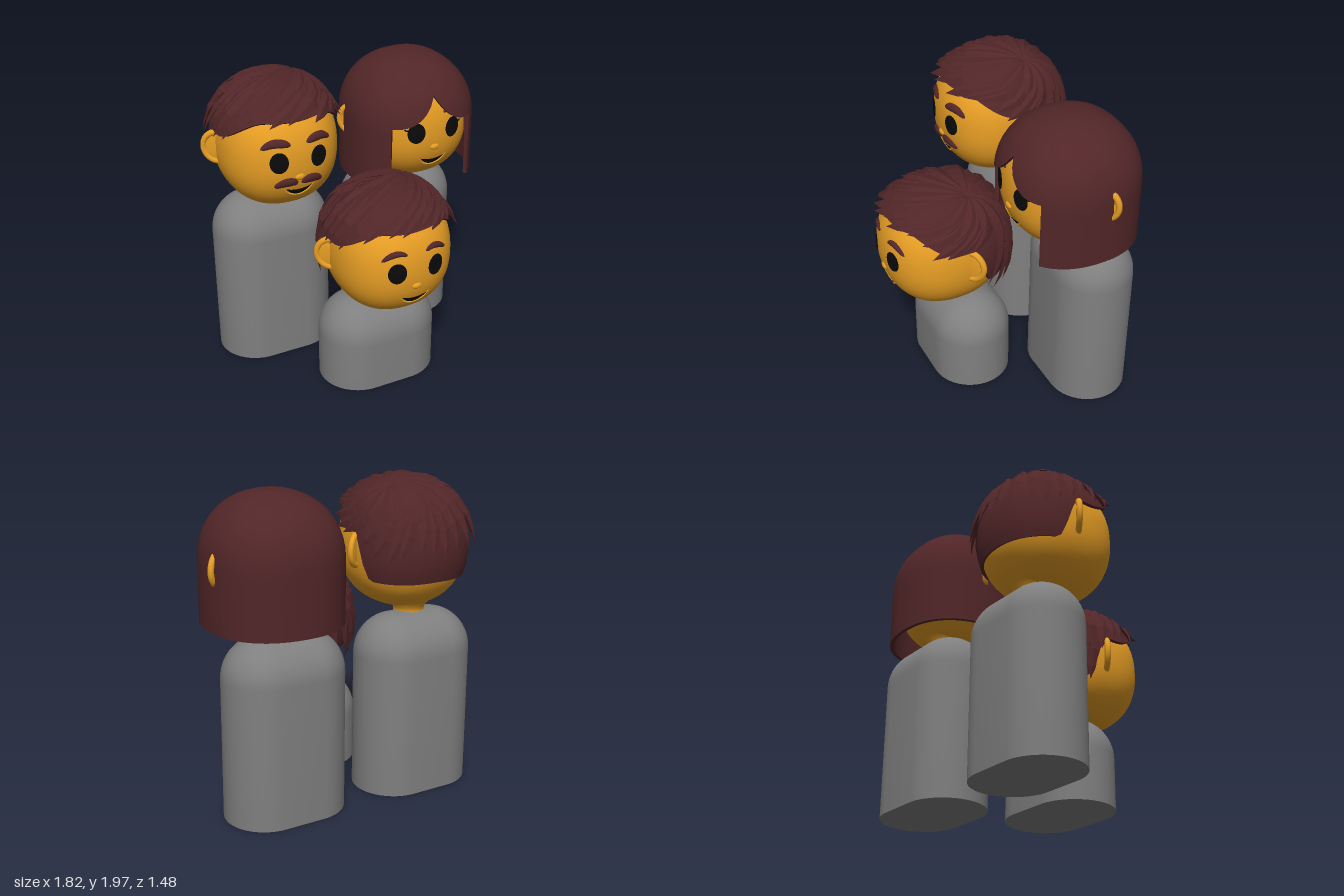
import * as THREE from 'three';
import { mergeGeometries, mergeVertices, toCreasedNormals } from 'three/addons/utils/BufferGeometryUtils.js';

const V = (x, y, z) => new THREE.Vector3(x, y, z);
const { lerp, smoothstep, clamp, degToRad } = THREE.MathUtils;
const paint = (name, color) => Object.assign(new THREE.MeshStandardMaterial({ color }), { name });

// Head: a slightly boxy ellipsoid shared by all three figures
const C = V(0, 0.985, 0.3), R = V(0.37, 0.385, 0.39), P = 2.3;
const dirOf = (az, el) => V(Math.cos(el) * Math.sin(az), Math.sin(el), Math.cos(el) * Math.cos(az));
function onHead(d, k = 1) {
  const s = Math.abs(d.x / R.x) ** P + Math.abs(d.y / R.y) ** P + Math.abs(d.z / R.z) ** P;
  return d.clone().multiplyScalar(k / s ** (1 / P)).add(C);
}
// Point of the face in front of (x, y)
function onFace(x, y, lift = 0) {
  const s = 1 - Math.abs(x / R.x) ** P - Math.abs((y - C.y) / R.y) ** P;
  return V(x, y, C.z + R.z * Math.max(0, s) ** (1 / P) + lift);
}

// Grid surface from a rule point(i, j)
function surface(rows, cols, point, flat = false) {
  const pos = [], idx = [], w = cols + 1;
  for (let i = 0; i <= rows; i++) for (let j = 0; j <= cols; j++) pos.push(...point(i, j).toArray());
  for (let i = 0; i < rows; i++) for (let j = 0; j < cols; j++) {
    const a = i * w + j, b = a + w;
    idx.push(a, b, b + 1, a, b + 1, a + 1);
  }
  const g = new THREE.BufferGeometry();
  g.setAttribute('position', new THREE.Float32BufferAttribute(pos, 3));
  g.setIndex(idx);
  if (!flat) return toCreasedNormals(mergeVertices(g), 0.7);
  const f = g.toNonIndexed();
  f.computeVertexNormals();
  return f;
}

// Tapered strand lying on the head along at(t)
function strand(at, width, thick, taper, steps, sides, flat) {
  return surface(steps, sides, (i, j) => {
    const t = i / steps, a = (j % sides) / sides * Math.PI * 2, p = at(t);
    const T = at(Math.min(1, t + 0.01)).sub(at(Math.max(0, t - 0.01))).normalize();
    const N = p.clone().sub(C).normalize();
    const B = T.clone().cross(N).normalize();
    N.crossVectors(B, T);
    const k = taper(t);
    return p.addScaledVector(B, Math.cos(a) * width * k).addScaledVector(N, Math.sin(a) * thick * k);
  }, flat);
}
const round = t => Math.max(0, Math.sin(Math.PI * t)) ** 0.45;
function faceStroke(points, width, thick) {
  const c = new THREE.CatmullRomCurve3(points.map(([x, y]) => onFace(x, y, 0.002)));
  return strand(t => c.getPoint(t), width, thick, round, 16, 10);
}

// Capsule-like body with a stadium footprint
function bodyGeometry(h) {
  const r = 0.255, n = 48, pts = [new THREE.Vector2(1e-4, 0), new THREE.Vector2(r, 0)];
  for (let i = 0; i <= 12; i++) {
    const a = i / 12 * Math.PI / 2;
    pts.push(new THREE.Vector2(Math.max(1e-4, r * Math.cos(a)), h - r + r * Math.sin(a)));
  }
  const g = new THREE.LatheGeometry(pts, n, Math.PI / n), p = g.attributes.position;
  for (let i = 0; i < p.count; i++) p.setX(i, p.getX(i) + Math.sign(p.getX(i)) * 0.13);
  return toCreasedNormals(g, 0.7);
}

// Hairline elevation around the head (azimuth 0 is the front)
function hairline(az, back) {
  const a = Math.abs(az) * 180 / Math.PI;
  return degToRad(lerp(lerp(36, 17, smoothstep(a, 30, 85)), back, smoothstep(a, 98, 118)));
}
function capGeometry() {
  return surface(15, 72, (i, j) => {
    const az = (j / 72 * 2 - 1) * Math.PI;
    const el = lerp(Math.PI / 2, hairline(az, -24), Math.min(1, i / 14));
    return onHead(dirOf(az, el), i === 15 ? 0.97 : 1.05);
  });
}
// Swept, pointed locks spreading from an off-centre crown
function locksGeometry(back, seed) {
  const rnd = () => (seed = (seed * 16807) % 2147483647) / 2147483647;
  const crown = V(0.16, 0.36, -0.1).normalize(), list = [];
  for (let layer = 0; layer < 3; layer++) {
    const n = [30, 22, 15][layer];
    for (let k = 0; k < n; k++) {
      const az = ((k + 0.5 * (layer % 2) + 0.4 * rnd()) / n * 2 - 1) * Math.PI;
      const end = dirOf(az, hairline(az, back) + 0.16 * (rnd() - 0.5));
      const reach = [1, 0.78, 0.55][layer] + 0.08 * rnd();
      const side = crown.clone().cross(end).normalize();
      const lift = layer === 0 ? lerp(0.07, 0.13, Math.abs(Math.cos(az))) : 0.05;
      const at = t => {
        const s = t * reach;
        const d = crown.clone().lerp(end, s).addScaledVector(side, 0.2 * Math.sin(Math.PI * s)).normalize();
        return onHead(d, 1.045 + 0.018 * layer + lift * t * t);
      };
      const taper = t => clamp(t * 5, 0, 1) * Math.max(0, 1 - t ** 3);
      list.push(strand(at, 0.055 + 0.02 * rnd(), 0.024, taper, 7, 4, true));
    }
  }
  return mergeGeometries(list);
}

// Long bob: a thick shell with a curtain fringe opening
function bobGeometry() {
  const edge = 0.689, cols = [], n = 24, rows = 18;
  const around = (rx, rz, a) => {
    const f = v => Math.sign(v) * Math.abs(v) ** (2 / P);
    return [rx * f(Math.sin(a)), rz * f(Math.cos(a))];
  };
  for (const [from, to, front] of [[-Math.PI, -edge, 0], [-edge, edge, 1], [edge, Math.PI, 0]])
    for (let j = 0; j <= n; j++) {
      const a = lerp(from, to, j / n), x = around(0.415, 0.42, a)[0];
      cols.push([a, front ? 1.045 + 0.18 * Math.max(0, 1 - Math.abs(x) / 0.28) ** 2.6 : 0.62]);
    }
  return surface(2 * rows + 1, cols.length - 1, (i, j) => {
    const inner = i > rows, inset = inner ? 0.022 : 0, [a, bottom] = cols[j];
    const s = (inner ? 2 * rows + 1 - i : i) / rows, top = 1.41 - inset;
    const y = bottom + (top - bottom) * Math.cos(s * Math.PI / 2);
    const q = clamp((y - 1) / (top - 1), 0, 1), f = Math.max(0, 1 - q ** 2.15) ** (1 / 2.15);
    const [x, z] = around(0.415 - inset, 0.42 - inset, a);
    return V(x * f, y, 0.295 + z * f);
  });
}

export function createModel() {
  const skin = paint('skin', 0xf0a426), hair = paint('hair', 0x522628);
  const grey = paint('body grey', 0x7f7f7f), black = paint('black', 0x0a0a0a);

  function figure(name, x, y, z, style) {
    const g = new THREE.Group();
    g.name = name;
    g.position.set(x, y, z);
    const add = (part, geo, mat, px = 0, py = 0, pz = 0) => {
      const m = new THREE.Mesh(geo, mat);
      m.name = part;
      m.position.set(px, py, pz);
      g.add(m);
      return m;
    };
    add('body', bodyGeometry(0.585 + y), grey, 0, -y, 0.165);
    const neck = [[0.1, 0.5], [0.095, 0.58], [0.1, 0.61], [0.13, 0.645], [0.19, 0.69]];
    add('neck', new THREE.LatheGeometry(neck.map(p => new THREE.Vector2(...p)), 32), skin, 0, 0, 0.205);
    add('head', surface(36, 64, (i, j) =>
      onHead(dirOf((j / 64 * 2 - 1) * Math.PI, Math.PI / 2 - i / 36 * Math.PI))), skin);

    // Mouth, lower lip and nose
    add('mouth', surface(4, 20, (i, j) => {
      const u = j / 10 - 1, top = 0.803 + 0.017 * u * u, low = 0.765 + 0.055 * u * u;
      return onFace(u * 0.085, lerp(top, low, i / 4), 0.005);
    }), black);
    add('lip', faceStroke([[-0.1, 0.825], [-0.06, 0.778], [0, 0.758], [0.06, 0.778], [0.1, 0.825]], 0.007, 0.007), skin);
    add('nose', new THREE.SphereGeometry(1, 20, 12).scale(0.032, 0.02, 0.014), skin, ...onFace(0, 0.895).toArray());

    for (const s of [-1, 1]) {
      const side = s > 0 ? 'left' : 'right';
      // Eyes follow the curve of the face
      add(side + 'Eye', surface(5, 32, (i, j) => {
        const a = j / 32 * Math.PI * 2, r = i / 5;
        return onFace(s * 0.127 + 0.055 * r * Math.cos(a), 1.005 + 0.067 * r * Math.sin(a), 0.006);
      }), black);
      const bushy = style === 'father';
      const brow = bushy ? [[0.05, 1.105], [0.1, 1.122], [0.16, 1.122], [0.222, 1.09]]
        : [[0.06, 1.112], [0.11, 1.128], [0.16, 1.118], [0.212, 1.085]];
      add(side + 'Brow', faceStroke(brow.map(p => [p[0] * s, p[1]]), bushy ? 0.027 : 0.019, 0.016), hair);
      if (bushy) add(side + 'Moustache', faceStroke(
        [[0.012, 0.85], [0.05, 0.868], [0.1, 0.866], [0.155, 0.838]].map(p => [p[0] * s, p[1]]), 0.03, 0.02), hair);
      if (style === 'mother') add(side + 'Lash', faceStroke(
        [[0.165, 1.03], [0.185, 1.026], [0.2, 1.034]].map(p => [p[0] * s, p[1]]), 0.005, 0.005), black);

      // Ear: a thin disc with a raised rim, angled backwards
      const ear = new THREE.Group();
      ear.name = side + 'Ear';
      ear.position.set(s * 0.355, 0.99, 0.26);
      ear.rotation.y = s > 0 ? 0.6 : Math.PI - 0.6;
      const disc = new THREE.Mesh(new THREE.SphereGeometry(1, 24, 12).scale(0.1, 0.105, 0.014), skin);
      const rim = new THREE.Mesh(new THREE.TorusGeometry(0.09, 0.019, 10, 32).scale(1, 1.06, 1), skin);
      disc.name = 'earDisc';
      rim.name = 'earRim';
      ear.add(disc, rim);
      g.add(ear);
    }

    if (style === 'mother') add('bobHair', bobGeometry(), hair);
    else {
      add('hairCap', capGeometry(), hair);
      add('hairLocks', locksGeometry(style === 'father' ? 2 : -26, style === 'father' ? 77 : 4021), hair);
    }
    return g;
  }

  const model = new THREE.Group();
  model.name = 'family';
  model.add(
    figure('father', -0.46, 0.545, -0.62, 'father'),
    figure('mother', 0.46, 0.545, -0.62, 'mother'),
    figure('child', 0, 0, 0, 'child'));
  return model;
}
